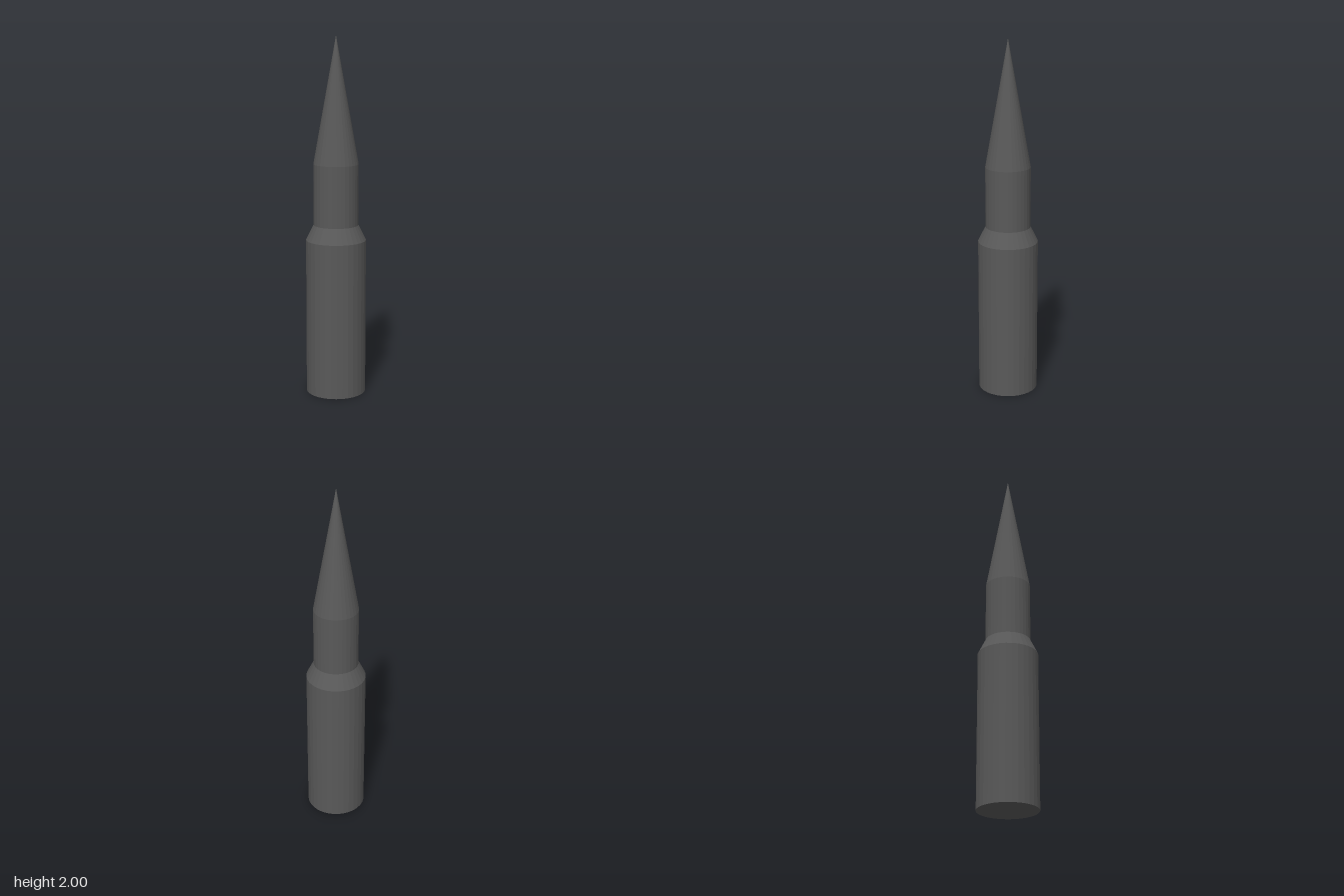
import * as THREE from 'three';

const SIDES = 32;

export function createModel() {
  const model = new THREE.Group();
  model.name = 'cartridge';
  const material = new THREE.MeshStandardMaterial({ color: 0x595959, flatShading: true });

  // One round section between two heights; only the lowest is closed
  const section = (name, rBottom, rTop, y0, y1, open = true) => {
    const geometry = new THREE.CylinderGeometry(rTop, rBottom, y1 - y0, SIDES, 1, open);
    const mesh = new THREE.Mesh(geometry, material);
    mesh.name = name;
    mesh.position.y = (y0 + y1) / 2;
    model.add(mesh);
  };

  const body = 0.167, neck = 0.125;
  section('caseBody', body, body, 0, 0.875, false);
  section('caseShoulder', body, neck, 0.875, 0.96);
  section('caseNeck', neck, neck, 0.96, 1.3);
  section('pointedTip', neck, 0, 1.3, 2);

  return model;
}
